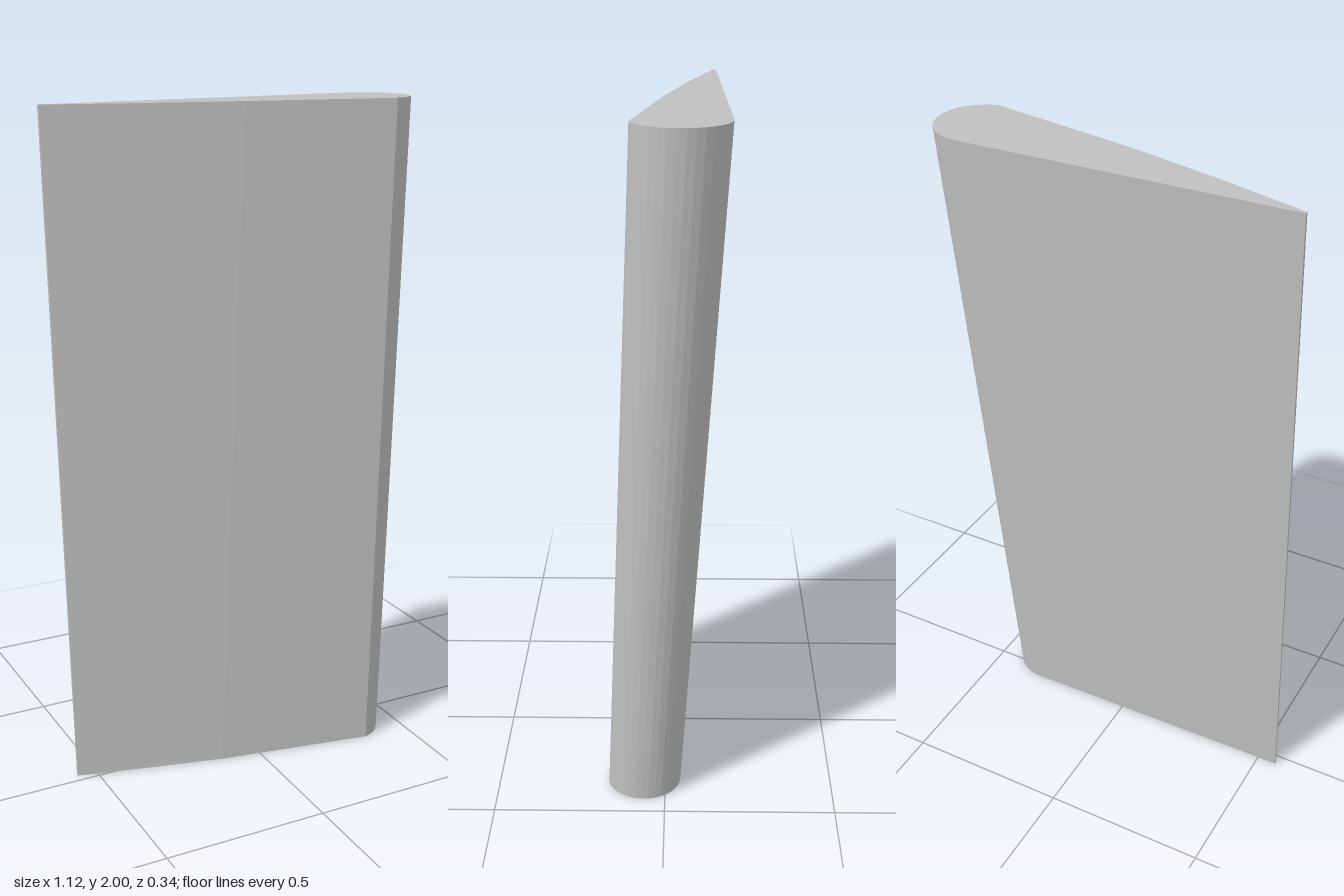
import * as THREE from 'three';

const HEIGHT = 2;
const ARC_STEPS = 16;

// Cross-section [x, z]: trailing edge, front side, round nose, trailing edge again
function section(front, [cx, cz, r], backEdge) {
  const points = front.map(([x, z]) => new THREE.Vector2(x, z));
  for (let i = 0; i <= ARC_STEPS; i++) {
    const a = THREE.MathUtils.degToRad(78 - (170 * i) / ARC_STEPS);
    points.push(new THREE.Vector2(cx + r * Math.cos(a), cz + r * Math.sin(a)));
  }
  points.push(new THREE.Vector2(...backEdge));
  return points;
}

// Straight loft between two sections with the same number of points
function loft(lower, upper) {
  const positions = [];
  const add = (p, y) => positions.push(p.x, y, p.y);
  const n = lower.length;
  for (let i = 0; i < n; i++) {
    const j = (i + 1) % n;
    add(lower[i], 0); add(lower[j], 0); add(upper[j], HEIGHT);
    add(lower[i], 0); add(upper[j], HEIGHT); add(upper[i], HEIGHT);
  }
  // End caps
  const flip = (pts) => pts.map((p) => new THREE.Vector2(p.x, -p.y));
  for (const [a, b, c] of THREE.ShapeUtils.triangulateShape(flip(upper), [])) {
    for (const k of [a, b, c]) add(upper[k], HEIGHT);
  }
  for (const [a, b, c] of THREE.ShapeUtils.triangulateShape(flip(lower), [])) {
    for (const k of [a, c, b]) add(lower[k], 0);
  }
  const geometry = new THREE.BufferGeometry();
  geometry.setAttribute('position', new THREE.Float32BufferAttribute(positions, 3));
  geometry.computeVertexNormals();
  return geometry;
}

export function createModel() {
  const grey = new THREE.MeshStandardMaterial({ color: 0xc0c0c0 });
  grey.name = 'light grey';

  const lower = section([[-0.56, -0.027], [-0.34, 0.03], [-0.12, 0.085]], [0.33, 0.063, 0.109], [-0.56, -0.034]);
  const upper = section([[-0.56, -0.136], [-0.3, -0.065], [0, 0.005]], [0.427, -0.042, 0.133], [-0.56, -0.145]);

  const blade = new THREE.Mesh(loft(lower, upper), grey);
  blade.name = 'taperedBlade';

  const model = new THREE.Group();
  model.name = 'taperedFoil';
  model.add(blade);
  return model;
}
